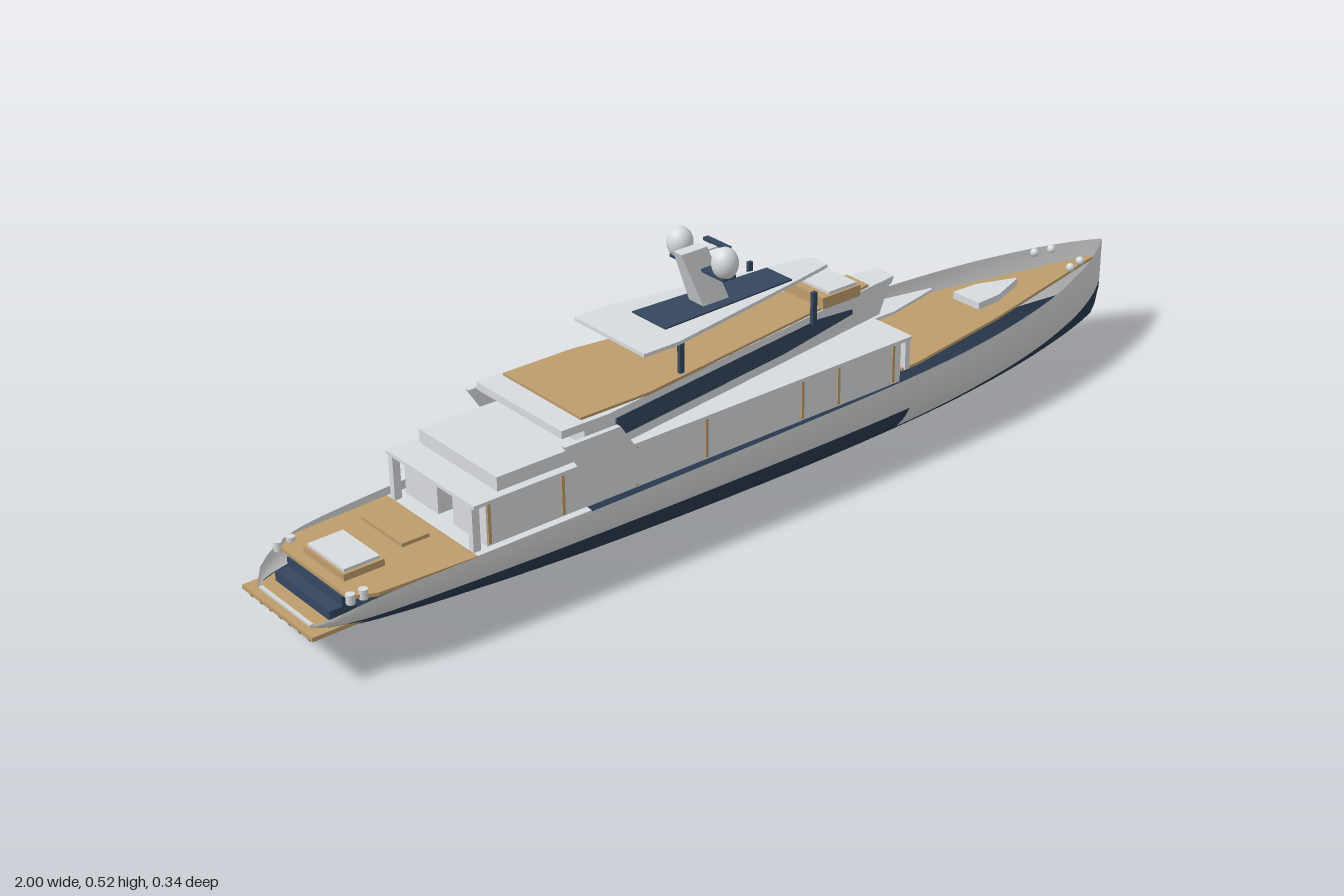
import * as THREE from 'three';

const mat = (name, color, side = THREE.FrontSide) => {
  const m = new THREE.MeshStandardMaterial({ color, side });
  m.name = name;
  return m;
};

// Smooth interpolation through [x, value] points
function curve(pts) {
  const slope = (i) => {
    const a = pts[Math.max(0, i - 1)], b = pts[Math.min(pts.length - 1, i + 1)];
    return (b[1] - a[1]) / (b[0] - a[0]);
  };
  return (x) => {
    let i = 0;
    while (i < pts.length - 2 && x > pts[i + 1][0]) i++;
    const [x0, a] = pts[i], [x1, b] = pts[i + 1], h = x1 - x0, t = (x - x0) / h;
    const s = t * t * (3 - 2 * t);
    return a + (b - a) * s + h * t * (1 - t) * ((1 - t) * slope(i) - t * slope(i + 1));
  };
}

const keel = curve([[-0.985, 0.088], [-0.95, 0.072], [-0.88, 0.055], [-0.7, 0.033], [-0.4, 0.012],
  [0, 0.001], [0.3, 0.001], [0.6, 0.008], [0.8, 0.018], [0.9, 0.028], [0.96, 0.04], [0.985, 0.054], [1, 0.1]]);
const sheer = curve([[-0.985, 0.108], [-0.96, 0.126], [-0.9, 0.146], [-0.8, 0.155], [-0.5, 0.162],
  [0, 0.174], [0.3, 0.18], [0.6, 0.189], [0.8, 0.198], [1, 0.21]]);
const beam = curve([[-0.985, 0.085], [-0.96, 0.112], [-0.9, 0.134], [-0.8, 0.144], [-0.5, 0.157],
  [0, 0.168], [0.3, 0.167], [0.5, 0.155], [0.7, 0.122], [0.85, 0.077], [0.94, 0.037], [1, 0.001]]);
const forwardLine = curve([[0.3, 0.05], [0.6, 0.066], [0.85, 0.085], [0.96, 0.1], [1, 0.112]]);
const paintLine = (x, forward) => forward ? forwardLine(x)
  : Math.min(0.105, keel(x) + (sheer(x) - keel(x)) * 0.66);

// One band of hull plating on one side, between two heights
function hullBand(x0, x1, low, high, side) {
  const nx = 60, ny = 14, pos = [], idx = [];
  for (let i = 0; i <= nx; i++) {
    const x = x0 + (x1 - x0) * i / nx, lo = low(x), hi = high(x);
    for (let j = 0; j <= ny; j++) {
      const y = lo + (hi - lo) * (j / ny) ** 1.6;
      const t = Math.min(1, Math.max(0, (sheer(x) - y) / (sheer(x) - keel(x))));
      pos.push(x, y, side * beam(x) * Math.sqrt(1 - t * t));
      if (i < nx && j < ny) {
        const a = i * (ny + 1) + j, b = a + ny + 1;
        idx.push(...(side > 0 ? [a, b, a + 1, b, b + 1, a + 1] : [a, a + 1, b, b, a + 1, b + 1]));
      }
    }
  }
  const g = new THREE.BufferGeometry();
  g.setAttribute('position', new THREE.Float32BufferAttribute(pos, 3));
  g.setIndex(idx);
  g.computeVertexNormals();
  return g;
}

// Flat plate from half a plan outline [x, halfWidth], mirrored over the centreline
function slab(half, y0, y1) {
  const outline = [...half.map(([x, z]) => [x, -z]), ...half.slice().reverse()];
  const g = new THREE.ExtrudeGeometry(new THREE.Shape(outline.map((p) => new THREE.Vector2(...p))),
    { depth: y1 - y0, bevelEnabled: false });
  return g.rotateX(-Math.PI / 2).translate(0, y0, 0);
}

// Plate from a side profile [x, y], centred on z
function plate(profile, thick) {
  return new THREE.ExtrudeGeometry(new THREE.Shape(profile.map((p) => new THREE.Vector2(...p))),
    { depth: thick, bevelEnabled: false }).translate(0, 0, -thick / 2);
}

export function createModel() {
  const root = new THREE.Group();
  root.name = 'motorYacht';
  const hullWhite = mat('hull white', 0xd4d5d6, THREE.DoubleSide);
  const hullNavy = mat('hull navy', 0x2a3b50, THREE.DoubleSide);
  const white = mat('white paint', 0xd8dbdf);
  const teak = mat('teak', 0xbd9c6c);
  const navy = mat('navy trim', 0x34465f);
  const brown = mat('brown wood', 0x7d5e40);

  const add = (name, geometry, material, x = 0, y = 0, z = 0) => {
    const m = new THREE.Mesh(geometry, material);
    m.name = name;
    m.position.set(x, y, z);
    root.add(m);
    return m;
  };
  const box = (name, material, x0, x1, y0, y1, z0, z1) => add(name,
    new THREE.BoxGeometry(x1 - x0, y1 - y0, z1 - z0), material, (x0 + x1) / 2, (y0 + y1) / 2, (z0 + z1) / 2);
  const sides = [1, -1];
  // Box repeated on both sides of the centreline
  const pair = (name, material, x0, x1, y0, y1, z0, z1) => {
    box(name, material, x0, x1, y0, y1, z0, z1);
    box(name, material, x0, x1, y0, y1, -z1, -z0);
  };

  // Open hull shell, the paint line stepping down near the bow
  for (const s of sides) {
    for (const [a, b, fwd] of [[-0.985, 0.3, false], [0.3, 1, true]]) {
      const line = (x) => paintLine(x, fwd);
      add('lowerHull', hullBand(a, b, keel, line, s), hullNavy);
      add('upperHull', hullBand(a, b, line, sheer, s), hullWhite);
    }
  }
  box('transom', hullWhite, -0.985, -0.978, 0.092, 0.108, -0.08, 0.08);

  // Stern platform, steps and aft deck
  box('swimPlatform', teak, -1, -0.9, 0.096, 0.104, -0.11, 0.11);
  for (let i = 0; i < 7; i++) {
    const z = -0.09 + i * 0.03;
    box('platformBracket', navy, -0.995, -0.97, 0.088, 0.096, z - 0.004, z + 0.004);
  }
  box('sternStepLow', navy, -0.95, -0.92, 0.104, 0.122, -0.085, 0.085);
  box('sternStepHigh', navy, -0.925, -0.9, 0.104, 0.14, -0.085, 0.085);
  add('aftDeck', slab([[-0.925, 0.105], [-0.88, 0.128], [-0.7, 0.137], [-0.69, 0.137]], 0.144, 0.151), teak);
  add('midDeck', slab([[-0.69, 0.137], [-0.45, 0.137]], 0.144, 0.151), white);
  box('sunPadBase', teak, -0.905, -0.825, 0.151, 0.164, -0.062, 0.062);
  box('sunPad', white, -0.9, -0.83, 0.164, 0.17, -0.056, 0.056);
  box('aftTable', teak, -0.79, -0.735, 0.172, 0.179, -0.062, 0.062);
  box('aftTableLeg', brown, -0.77, -0.755, 0.151, 0.172, -0.03, 0.03);
  for (const s of sides) {
    for (const x of [-0.925, -0.9]) {
      add('sternBollard', new THREE.CylinderGeometry(0.008, 0.008, 0.018, 16), white, x, 0.15, s * 0.112);
    }
    for (const [x, z] of [[0.85, 0.05], [0.89, 0.04]]) {
      add('bowBollard', new THREE.SphereGeometry(0.009, 16, 12), white, x, 0.204, s * z);
    }
  }

  // Foredeck with its pointed hatch
  add('foredeck', slab([[0.3, 0.127], [0.34, 0.127], [0.6, 0.085], [0.97, 0.004]], 0.173, 0.179), teak);
  add('foredeckHatch', slab([[0.6, 0.036], [0.66, 0.033], [0.745, 0.002]], 0.179, 0.194), white);

  // Main deck house, open along the middle
  pair('mainHouse', white, -0.66, 0.3, 0.15, 0.236, 0.023, 0.122);
  for (const x of [-0.655, -0.5, -0.34, -0.18, 0.05, 0.14, 0.28]) {
    pair('wallPost', teak, x - 0.003, x + 0.003, 0.155, 0.236, 0.122, 0.125);
  }
  pair('houseCornerPost', white, -0.69, -0.675, 0.15, 0.236, 0.112, 0.125);
  pair('houseFrontPost', white, 0.305, 0.317, 0.175, 0.236, 0.118, 0.13);
  box('frontDoor', brown, 0.3, 0.304, 0.18, 0.224, -0.094, -0.074);
  box('frontPanel', white, 0.3, 0.306, 0.18, 0.226, 0.07, 0.1);
  pair('frontSeat', white, 0.3, 0.34, 0.179, 0.217, 0.024, 0.037);
  box('mainRoof', white, -0.69, 0.32, 0.236, 0.243, -0.132, 0.132);
  add('roofPoint', slab([[0.3, 0.03], [0.37, 0.03], [0.5, 0.003]], 0.237, 0.243), white);
  box('aftRoofBlock', white, -0.63, -0.42, 0.243, 0.27, -0.115, 0.115);

  // Raked side fins
  for (const s of sides) {
    add('sideFin', plate([[-0.43, 0.172], [-0.31, 0.172], [-0.39, 0.297], [-0.51, 0.297]], 0.01),
      white, 0, 0, s * 0.141);
  }

  // Wedge-shaped upper house with a raked nose
  const rake = (g) => {
    const p = g.attributes.position;
    for (let i = 0; i < p.count; i++) {
      if (p.getX(i) > 0.2) p.setX(i, p.getX(i) + (p.getY(i) - 0.243) * 0.45);
    }
    g.computeVertexNormals();
    return g;
  };
  add('upperHouse', rake(slab([[-0.45, 0.122], [-0.4, 0.122], [0.34, 0.02]], 0.243, 0.303)), white);
  add('upperRoof', rake(slab([[-0.5, 0.124], [-0.4, 0.125], [0.34, 0.024]], 0.301, 0.316)), white);
  for (const s of sides) {
    const w = add('upperWindow', plate([[0.02, 0.262], [0.46, 0.262], [0.66, 0.274], [0.66, 0.284],
      [0.55, 0.3], [0.02, 0.3]], 0.006), navy, -0.4, 0, s * 0.1225);
    w.rotation.y = s * Math.atan2(0.102, 0.74);
  }

  // Sun deck and bench
  add('sunDeck', slab([[-0.45, 0.113], [-0.3, 0.113], [0.3, 0.03]], 0.315, 0.321), teak);
  box('benchBase', teak, 0.16, 0.255, 0.319, 0.342, -0.055, 0.055);
  box('benchCushion', white, 0.18, 0.25, 0.34, 0.348, -0.05, 0.05);

  // Hardtop on posts
  for (const x of [-0.21, 0.105]) pair('hardtopPost', navy, x - 0.005, x + 0.005, 0.318, 0.384, 0.086, 0.094);
  add('hardtop', slab([[-0.3, 0.1], [-0.22, 0.1], [0.12, 0.038], [0.2, 0.022]], 0.382, 0.389), white);
  add('hardtopPanel', slab([[-0.21, 0.047], [0.1, 0.035]], 0.389, 0.392), navy);

  // Raked, tapering mast
  const mast = new THREE.BoxGeometry(0.06, 0.115, 0.042);
  const p = mast.attributes.position;
  for (let i = 0; i < p.count; i++) {
    if (p.getY(i) > 0) p.setXYZ(i, p.getX(i) - 0.045, p.getY(i), p.getZ(i) * 0.55);
  }
  mast.computeVertexNormals();
  add('mast', mast, white, -0.068, 0.444, 0);
  box('domeArm', navy, -0.1, -0.07, 0.458, 0.464, -0.075, 0.075);
  for (const y of [0.453, 0.495]) {
    box('radarBar', navy, -0.056, -0.044, y - 0.003, y + 0.003, -0.033, 0.033);
    box('radarArm', white, -0.1, -0.05, y - 0.005, y - 0.002, -0.008, 0.008);
  }
  for (const s of sides) {
    add('radome', new THREE.SphereGeometry(0.025, 32, 20).scale(1, 1.2, 1), white, -0.085, 0.487, s * 0.063);
  }
  return root;
}
